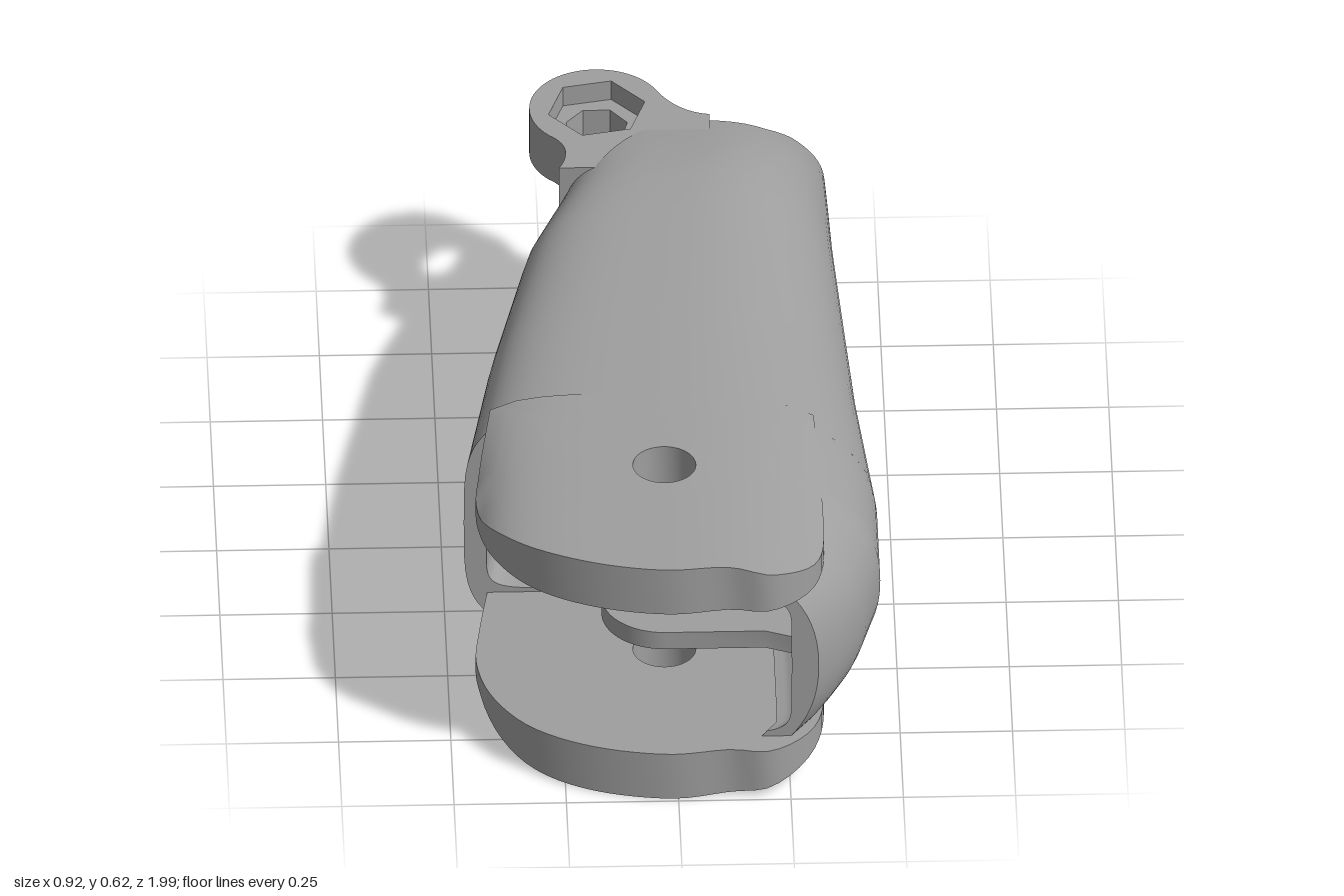
import * as THREE from 'three';
import { toCreasedNormals } from 'three/addons/utils/BufferGeometryUtils.js';

const MID = 0.32; // height of the horizontal symmetry plane

// piecewise-linear lookup through [t, value] pairs
function ramp(pts, t) {
  if (t <= pts[0][0]) return pts[0][1];
  for (let i = 1; i < pts.length; i++) {
    const [a, va] = pts[i - 1], [b, vb] = pts[i];
    if (t <= b) return va + (vb - va) * (t - a) / (b - a);
  }
  return pts[pts.length - 1][1];
}

// skin over rows of points; every row is a closed loop
function skin(rows, wrap) {
  const n = rows[0].length, idx = [];
  const last = wrap ? rows.length : rows.length - 1;
  for (let i = 0; i < last; i++) {
    const k = (i + 1) % rows.length;
    for (let j = 0; j < n; j++) {
      const m = (j + 1) % n;
      idx.push(i * n + j, k * n + j, k * n + m, i * n + j, k * n + m, i * n + m);
    }
  }
  const g = new THREE.BufferGeometry();
  g.setAttribute('position', new THREE.Float32BufferAttribute(rows.flat(2), 3));
  g.setIndex(idx);
  return toCreasedNormals(g, 0.6);
}

// outline of the body along its length
const LEFT = [[-0.62, -0.22], [-0.4, -0.31], [0, -0.4], [0.35, -0.46]];
const RIGHT = [[-0.93, 0.38], [-0.6, 0.39], [0, 0.425], [0.38, 0.46], [0.6, 0.46], [0.75, 0.42], [0.85, 0.37], [0.93, 0.31]];
const HALF = [[-0.93, 0.19], [-0.87, 0.24], [-0.8, 0.275], [-0.62, 0.305], [-0.5, 0.31]];
const BACK = [[-1, -0.62], [-0.5, -0.64], [0, -0.81], [0.5, -0.83], [0.85, -0.9], [1, -0.93]];

function superPoint(a, xl, xr, h, nl, nr, z) {
  const c = Math.cos(a), s = Math.sin(a), n = c > 0 ? nr : nl;
  const x = (xl + xr) / 2 + (xr - xl) / 2 * Math.sign(c) * Math.abs(c) ** (2 / n);
  return [x, MID + h * Math.sign(s) * Math.abs(s) ** (2 / n), z];
}
const outer = (a, z) => superPoint(a, ramp(LEFT, z), ramp(RIGHT, z), ramp(HALF, z), 4, 2.3, z);
const inner = (a, z) => superPoint(a, ramp(LEFT, z) + 0.05,
  Math.min(0.28, ramp(RIGHT, z) - 0.06), Math.min(0.18, ramp(HALF, z) - 0.04), 9, 9, z);

// thick shell between two angles, with lengthwise limits set per angle
function shell(a0, a1, steps, wrap, zBack, zFront) {
  const rows = [], N = 18;
  for (let i = 0; i < (wrap ? steps : steps + 1); i++) {
    const a = a0 + (a1 - a0) * i / steps, row = [];
    const z = t => zBack(a) + (zFront(a) - zBack(a)) * t / N;
    for (let t = 0; t <= N; t++) row.push(outer(a, z(t)));
    for (let t = N; t >= 0; t--) row.push(inner(a, z(t)));
    rows.push(row);
  }
  return skin(rows, wrap);
}

// crowned cheek plate, skinned from the pin hole out to the rim
function cheek(side) {
  const cx = -0.02, cz = 0.58, r = 0.07, N = 64, R = 8;
  const curve = new THREE.CatmullRomCurve3([
    [-0.40, 0.3], [-0.43, 0.5], [-0.44, 0.62], [-0.41, 0.75], [-0.33, 0.87], [-0.2, 0.95],
    [-0.02, 0.99], [0.12, 0.975], [0.2, 0.985], [0.28, 0.93], [0.32, 0.85], [0.33, 0.6], [0.32, 0.3],
  ].map(([x, z]) => new THREE.Vector3(x, 0, z)), false, 'centripetal');
  const rim = curve.getSpacedPoints(N);
  for (let i = 1; i < 12; i++) rim.push(new THREE.Vector3(0.32 - 0.06 * i, 0, 0.3));
  const crown = x => {
    const n = x > 0 ? 2.3 : 5;
    const u = Math.min(1, Math.abs(x) / 0.46);
    return Math.max(0.235, 0.31 * (1 - u ** n) ** (1 / n));
  };
  const rows = rim.map(p => {
    const d = Math.atan2(p.z - cz, p.x - cx), row = [];
    const at = (t, top) => {
      const hx = cx + r * Math.cos(d), hz = cz + r * Math.sin(d);
      const x = hx + (p.x - hx) * t, z = hz + (p.z - hz) * t;
      row.push([x, MID + side * (top ? crown(x) : 0.19), z]);
    };
    for (let k = 0; k <= R; k++) at(1 - (1 - k / R) ** 1.5, true);
    at(1, false);
    at(0, false);
    return side > 0 ? row : row.reverse();
  });
  return skin(rows, true);
}

// flat extrusion lying in the ground plane (shape y becomes -z)
function slab(shape, y0, y1) {
  const g = new THREE.ExtrudeGeometry(shape, { depth: y1 - y0, bevelEnabled: false, curveSegments: 20 });
  g.rotateX(-Math.PI / 2).translate(0, y0, 0);
  return toCreasedNormals(g, 0.6);
}

function polyHole(cx, cy, r, sides) {
  const p = new THREE.Path();
  for (let i = 0; i <= sides; i++) {
    const a = -i / sides * Math.PI * 2 + 0.2;
    p[i ? 'lineTo' : 'moveTo'](cx + r * Math.cos(a), cy + r * Math.sin(a));
  }
  return p;
}

// hinge ear at the back, with a neck running into the body
function earShape(r, sides) {
  const s = new THREE.Shape();
  s.moveTo(0.12, 0.62);
  s.lineTo(0.12, 0.82);
  s.quadraticCurveTo(0.05, 0.83, 0.006, 0.913);
  s.absarc(-0.13, 0.85, 0.15, 0.43, 3.9, false);
  s.quadraticCurveTo(-0.18, 0.7, -0.22, 0.62);
  s.closePath();
  s.holes.push(polyHole(-0.13, 0.85, r, sides));
  return s;
}

// inner lug around the pin axis, flaring into the right-hand wall
function lugShape() {
  const s = new THREE.Shape();
  s.moveTo(0.3, -0.76);
  s.lineTo(0.2, -0.72);
  s.lineTo(-0.02, -0.72);
  s.absarc(-0.02, -0.58, 0.14, -Math.PI / 2, -Math.PI * 1.5, true);
  s.lineTo(0.2, -0.44);
  s.lineTo(0.3, -0.4);
  s.closePath();
  s.holes.push(polyHole(-0.02, -0.58, 0.07, 8));
  return s;
}

export function createModel() {
  const grey = new THREE.MeshStandardMaterial({ color: 0x9f9f9f, side: THREE.DoubleSide });
  grey.name = 'plain grey';
  const model = new THREE.Group();
  const add = (name, geometry) => {
    const m = new THREE.Mesh(geometry, grey);
    m.name = name;
    model.add(m);
    return m;
  };

  // hollow link body and the wall that continues forward on one side
  add('body', shell(0, Math.PI * 2, 72, true, a => ramp(BACK, Math.cos(a)), () => 0.35));
  add('sideWall', shell(-1.12, 1.12, 28, false, () => 0.34, () => 0.925));

  // fork plates
  add('upperCheek', cheek(1));
  add('lowerCheek', cheek(-1));

  // rear hinge ears: round bore inside, hexagonal recess outside
  add('upperEar', slab(earShape(0.07, 7), 0.48, 0.55));
  add('upperEarRecess', slab(earShape(0.11, 6), 0.55, 0.6));
  add('lowerEar', slab(earShape(0.07, 7), 0.09, 0.16));
  add('lowerEarRecess', slab(earShape(0.11, 6), 0.04, 0.09));

  // inner lugs and the four-sided post between them
  add('upperLug', slab(lugShape(), 0.365, 0.405));
  add('lowerLug', slab(lugShape(), 0.227, 0.272));
  const post = new THREE.CylinderGeometry(0.14, 0.14, 0.17, 4).toNonIndexed();
  post.computeVertexNormals();
  post.scale(1, 1, 0.4);
  post.computeVertexNormals();
  add('lugPost', post).position.set(0.025, 0.318, 0.45);
  return model;
}
